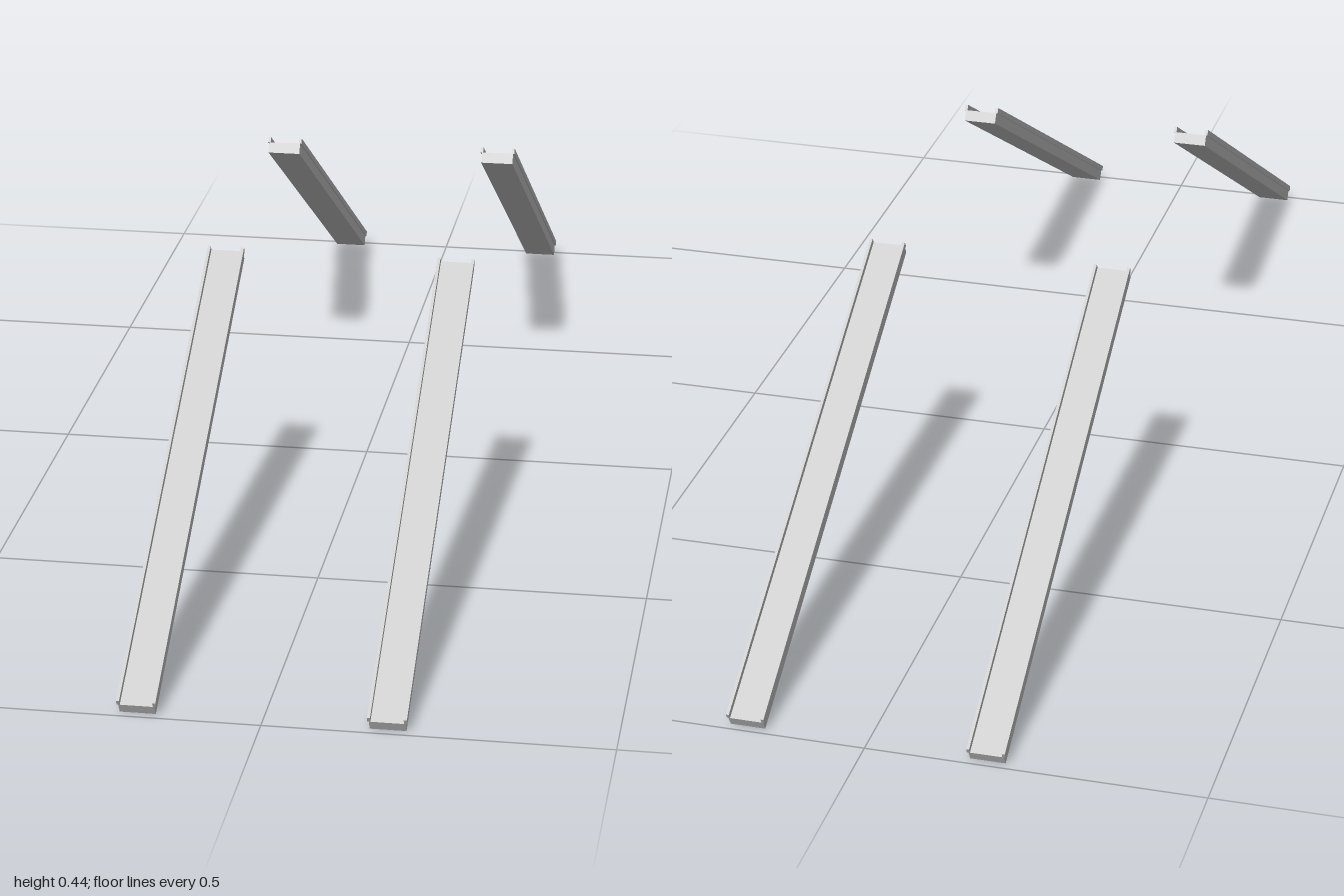
import * as THREE from 'three';

const LENGTH = 0.842, WIDTH = 0.052, FLOOR = 0.0175, RAIL_H = 0.009, RAIL_W = 0.0045;
const SLOPE = Math.PI / 6;

export function createModel() {
  const model = new THREE.Group();
  const material = new THREE.MeshStandardMaterial({ color: 0xcccccc, flatShading: true });

  // box whose bottom front edge lies on the ramp's low end
  function part(name, w, h, x, y) {
    const mesh = new THREE.Mesh(new THREE.BoxGeometry(w, h, LENGTH), material);
    mesh.position.set(x, y + h / 2, -LENGTH / 2);
    mesh.name = name;
    return mesh;
  }

  // sloping track with a low rail along each edge
  function createRamp(name) {
    const ramp = new THREE.Group();
    ramp.name = name;
    ramp.add(part('trackFloor', WIDTH, FLOOR, 0, 0));
    for (const s of [-1, 1]) {
      ramp.add(part(s > 0 ? 'leftRail' : 'rightRail', RAIL_W, RAIL_H, s * WIDTH / 2, FLOOR));
    }
    ramp.rotation.x = SLOPE;
    ramp.position.z = 1 - (FLOOR + RAIL_H) * Math.sin(SLOPE);
    return ramp;
  }

  // a pair of ramps at the front, and the same pair turned round at the back
  for (const end of ['front', 'back']) {
    const pair = new THREE.Group();
    pair.name = end + 'Ramps';
    for (const s of [-1, 1]) {
      const ramp = createRamp('ramp');
      ramp.position.x = s * 0.1785;
      pair.add(ramp);
    }
    if (end === 'back') pair.rotation.y = Math.PI;
    model.add(pair);
  }
  return model;
}
